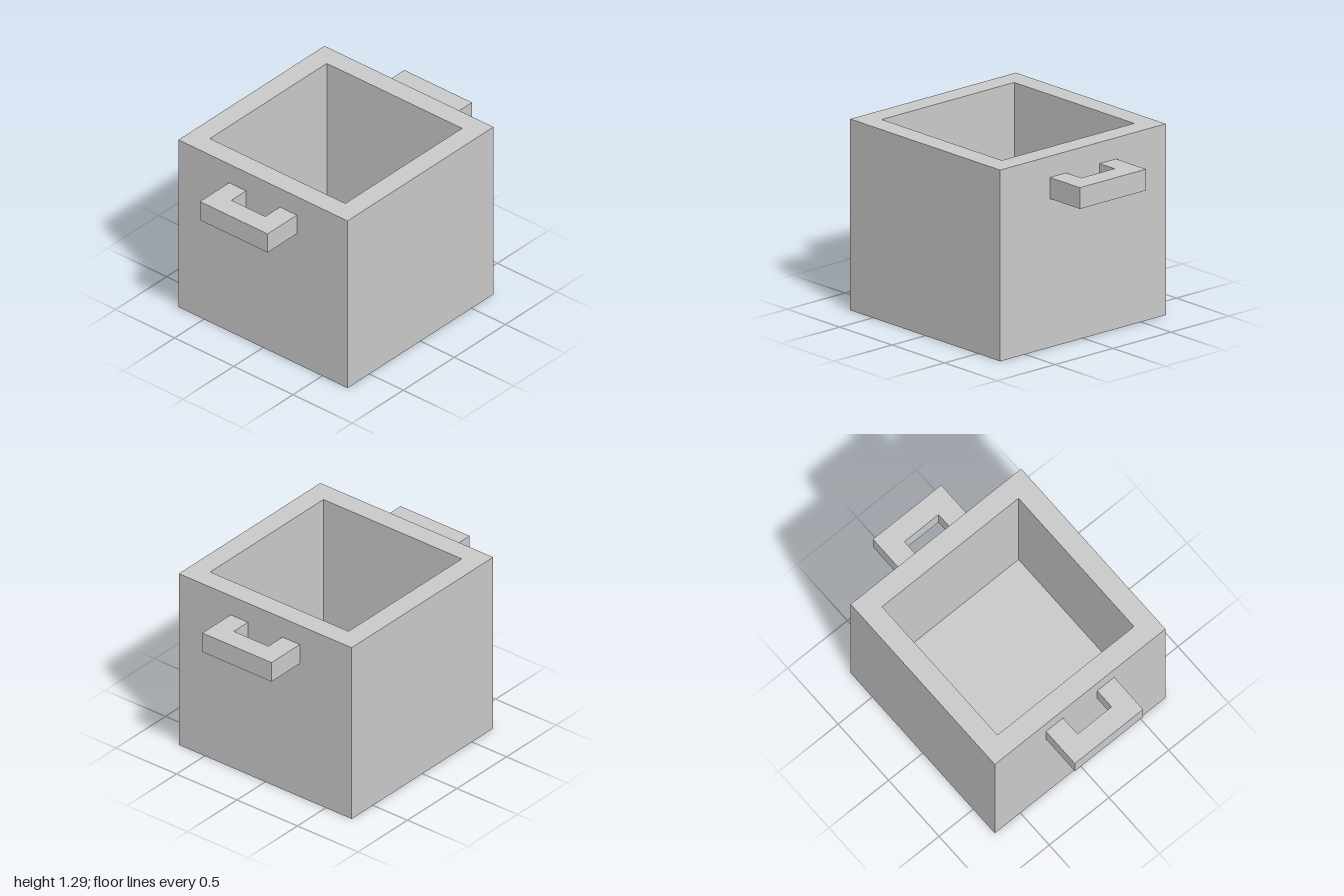
import * as THREE from 'three';

const U = 1 / 7; // wall thickness, the unit of the whole design
const material = new THREE.MeshStandardMaterial({ color: 0xcccccc, flatShading: true });

// Square open box: a four-sided lathe of the wall section
function createBody() {
  const section = [[0, 0], [5, 0], [5, 9], [4, 9], [4, 1], [0, 1]]
    .map(([half, y]) => new THREE.Vector2(half * U * Math.SQRT2, y * U));
  const geometry = new THREE.LatheGeometry(section, 4, Math.PI / 4).toNonIndexed();
  geometry.computeVertexNormals();
  const body = new THREE.Mesh(geometry, material);
  body.name = 'potBody';
  return body;
}

// U-shaped handle, open towards the wall
function createHandle(name, turn) {
  const outline = [[5, -2], [7, -2], [7, 2], [5, 2], [5, 1], [6, 1], [6, -1], [5, -1]]
    .map(([x, y]) => new THREE.Vector2(x * U, y * U));
  const geometry = new THREE.ExtrudeGeometry(new THREE.Shape(outline), { depth: U, bevelEnabled: false });
  geometry.rotateX(-Math.PI / 2);
  const handle = new THREE.Mesh(geometry, material);
  handle.name = name;
  handle.position.y = 7 * U;
  handle.rotation.y = turn;
  return handle;
}

export function createModel() {
  const model = new THREE.Group();
  model.name = 'squarePot';
  model.add(createBody(), createHandle('leftHandle', 0), createHandle('rightHandle', Math.PI));
  return model;
}
